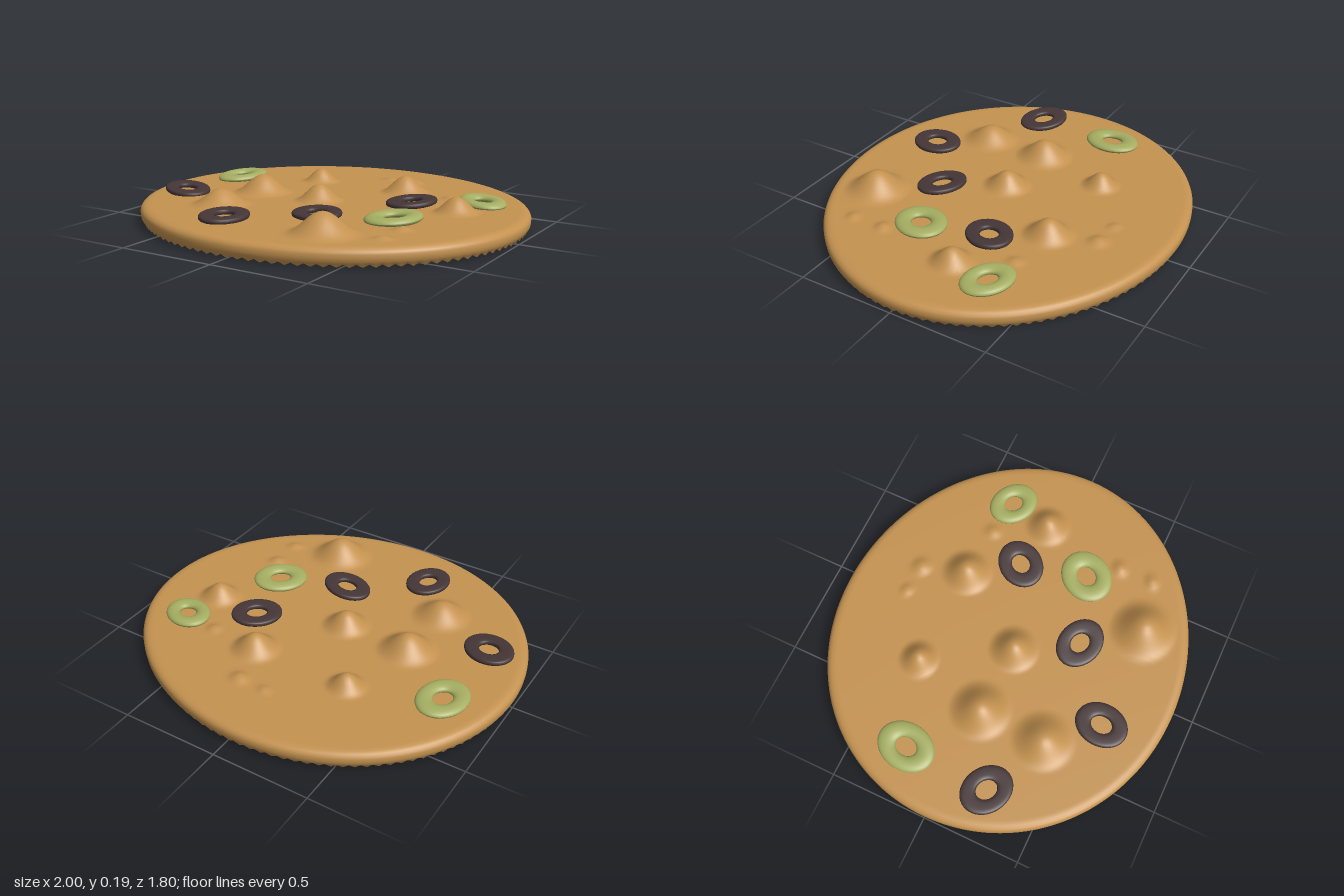
import * as THREE from 'three';

const TOP = 0.088;
// Baked bubbles: x, z, radius, height
const BUBBLES = [
  [-0.31, -0.37, 0.11, 0.072], [0.22, -0.36, 0.14, 0.088], [-0.42, 0.025, 0.165, 0.094],
  [-0.06, 0.04, 0.135, 0.084], [-0.43, 0.37, 0.165, 0.08], [0.31, 0.59, 0.18, 0.103],
  [0.64, -0.09, 0.125, 0.078], [0.0, -0.6, 0.05, 0.012], [0.15, -0.59, 0.07, 0.02],
  [0.49, -0.34, 0.06, 0.014], [0.58, 0.35, 0.06, 0.018], [0.58, 0.53, 0.055, 0.016],
];

// Rings: x, z, semi-axis a, semi-axis b, yaw, tilt x, tilt z
const GREEN_RINGS = [
  [-0.74, -0.222, 0.15, 0.118, 1.4, 0.03, 0.03],
  [0.68, -0.31, 0.135, 0.108, -0.5, 0.03, -0.04],
  [0.46, 0.21, 0.145, 0.125, 1.0, 0.03, 0.03],
];
const DARK_RINGS = [
  [-0.765, 0.225, 0.138, 0.112, -0.5, 0.03, -0.07],
  [0.378, -0.127, 0.132, 0.112, 0.95, 0.04, 0.04],
  [0.11, 0.328, 0.137, 0.108, -0.3, 0.06, 0.06],
  [-0.235, 0.596, 0.135, 0.11, 1.5, 0.02, -0.04],
];

function bubbleHeight(x, z) {
  let h = 0;
  for (const [bx, bz, r, height] of BUBBLES) {
    const d = Math.hypot(x - bx, z - bz) / r;
    if (d < 1) h = Math.max(h, height * 0.5 * (1 + Math.cos(Math.PI * d)));
  }
  return h;
}

// Open-bottomed crust: a round sheet with bubbles, turned down at the rim
function crustGeometry() {
  const rings = 90, segs = 220;
  const profile = [];
  for (let i = 0; i <= rings; i++) profile.push([0.955 * i / rings, TOP]);
  profile.push([0.972, 0.086], [0.986, 0.08], [0.995, 0.071], [1, 0.06],
    [1, 0.045], [0.998, 0.03], [0.99, 0.018], [0.982, 0.008]);

  const pos = [], index = [];
  profile.forEach(([r, y], i) => {
    const last = i === profile.length - 1;
    for (let j = 0; j < segs; j++) {
      const t = j / segs * Math.PI * 2;
      const x = r * (Math.cos(t) - 0.035 * Math.sin(t) ** 2 * r);
      const z = r * 0.9 * Math.sin(t) - 0.004 * r;
      // ragged lower edge
      const rag = last ? (j % 2 ? 0.005 : -0.008) : 0;
      pos.push(x, y + rag + (i <= rings ? bubbleHeight(x, z) : 0), z);
      if (!last) {
        const k = (j + 1) % segs;
        const a = i * segs + j, d = i * segs + k;
        const b = a + segs, c = d + segs;
        if (i > 0) index.push(a, d, b);
        index.push(d, c, b);
      }
    }
  });
  const g = new THREE.BufferGeometry();
  g.setAttribute('position', new THREE.Float32BufferAttribute(pos, 3));
  g.setIndex(index);
  g.computeVertexNormals();
  return g;
}

// Unit ring lying flat; a lower power gives a squarer section
function ringGeometry(hole, halfHeight, power) {
  const mid = (1 + hole) / 2, tube = (1 - hole) / 2;
  const soft = (v) => Math.sign(v) * Math.abs(v) ** power;
  const pts = [];
  for (let i = 0; i <= 24; i++) {
    const t = i / 24 * Math.PI * 2;
    pts.push(new THREE.Vector2(mid + tube * soft(Math.cos(t)), halfHeight * soft(Math.sin(t))));
  }
  return new THREE.LatheGeometry(pts, 48);
}

export function createModel() {
  const model = new THREE.Group();
  const mat = (name, color) => {
    const m = new THREE.MeshStandardMaterial({ color });
    m.name = name;
    return m;
  };
  const bread = mat('baked crust', 0xc49250);
  bread.side = THREE.DoubleSide;
  const green = mat('green olive', 0xa5ae62);
  const dark = mat('dark olive', 0x453637);

  const crust = new THREE.Mesh(crustGeometry(), bread);
  crust.name = 'crust';
  model.add(crust);

  const addRings = (list, name, geometry, material, y) => {
    list.forEach(([x, z, a, b, yaw, tiltX, tiltZ], i) => {
      const ring = new THREE.Mesh(geometry, material);
      ring.name = name + (i + 1);
      ring.position.set(x, y, z);
      ring.scale.set(a, 1, b);
      ring.rotation.set(tiltX, yaw, tiltZ, 'XZY');
      model.add(ring);
    });
  };
  addRings(GREEN_RINGS, 'greenOliveRing', ringGeometry(0.37, 0.02, 1), green, 0.1);
  addRings(DARK_RINGS, 'darkOliveRing', ringGeometry(0.4, 0.015, 0.65), dark, 0.102);
  return model;
}
